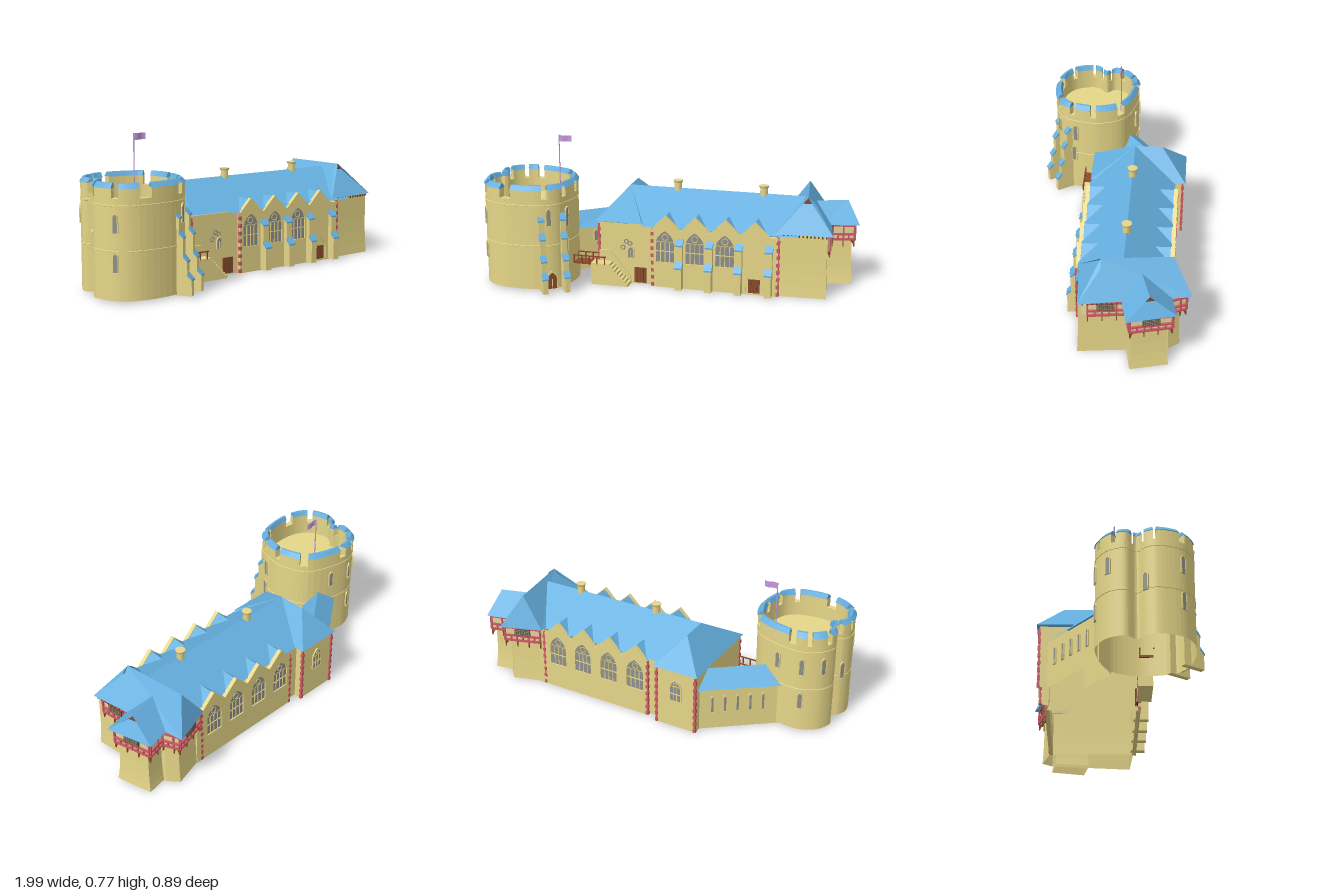
import * as THREE from 'three';

const mat = (color) => new THREE.MeshStandardMaterial({ color, side: THREE.DoubleSide });
const STONE = mat(0xe6d688), ROOF = mat(0x66b0e0), RED = mat(0xcf5a64), BROWN = mat(0x8c4a2c);
const GLASS = mat(0x8f8f8c), PLASTER = mat(0xe3d5a0), PURPLE = mat(0xc79ae0), DARK = mat(0x5c4a2a);

export function createModel() {
  const root = new THREE.Group();
  const V = (x, y, z) => new THREE.Vector3(x, y, z);
  const add = (name, geo, m, parent = root) => {
    const mesh = new THREE.Mesh(geo, m);
    mesh.name = name;
    parent.add(mesh);
    return mesh;
  };
  const box = (name, m, w, h, d, x, y, z, parent) =>
    add(name, new THREE.BoxGeometry(w, h, d).translate(x, y, z), m, parent);
  const frame = (name, x, y, z, ry) => {
    const g = new THREE.Group();
    g.name = name; g.position.set(x, y, z); g.rotation.y = ry;
    root.add(g);
    return g;
  };
  // flat polygons, each fanned from its first corner
  const faces = (polys) => {
    const pts = [];
    for (const p of polys) for (let i = 1; i < p.length - 1; i++) pts.push(p[0], p[i], p[i + 1]);
    const g = new THREE.BufferGeometry().setFromPoints(pts);
    g.computeVertexNormals();
    return g;
  };
  const shapeOf = (pts) => new THREE.Shape(pts.map(([a, b]) => new THREE.Vector2(a, b)));
  // profile of [z, y] points, swept across x
  const sweepX = (pts, w) => new THREE.ExtrudeGeometry(shapeOf(pts), { depth: w, bevelEnabled: false })
    .rotateY(-Math.PI / 2).translate(w / 2, 0, 0);
  // open shell of walls: plan of [x, z] lofted through [y, scale] levels
  const shell = (name, m, plan, levels) => {
    const n = plan.length, cx = plan.reduce((s, p) => s + p[0], 0) / n, cz = plan.reduce((s, p) => s + p[1], 0) / n;
    const rings = levels.map(([y, s]) => plan.map(([x, z]) => V(cx + (x - cx) * s, y, cz + (z - cz) * s)));
    const polys = [];
    for (let j = 1; j < rings.length; j++) for (let i = 0; i < n; i++) {
      const k = (i + 1) % n;
      polys.push([rings[j - 1][k], rings[j - 1][i], rings[j][i], rings[j][k]]);
    }
    add(name, faces(polys), m);
  };
  // hipped roof; a,b = corners at end p, c,d = corners at end q, optional gablet at p
  const hipRoof = (name, a, b, c, d, p, q, ye, yr, drop = 0) => {
    const [A, B, C, D] = [a, b, c, d].map(([x, z]) => V(x, ye, z));
    const P = V(p[0], yr, p[1]), Q = V(q[0], yr, q[1]);
    const half = B.clone().sub(A).multiplyScalar(drop * 4);
    const L = P.clone().sub(half).setY(yr - drop), R = P.clone().add(half).setY(yr - drop);
    add(name, faces([[A, B, R, L], [P, R, B, C, Q], [P, Q, D, A, L], [C, D, Q]]), ROOF);
    if (drop) add(name + 'Gablet', faces([[L, R, P]]), BROWN);
  };
  const arch = (w, h, x = 0, y = 0) => {
    const s = new THREE.Shape(), spring = y + h - w * 0.75, shoulder = y + h - w * 0.3;
    s.moveTo(x - w / 2, y); s.lineTo(x + w / 2, y); s.lineTo(x + w / 2, spring);
    s.quadraticCurveTo(x + w / 2, shoulder, x, y + h);
    s.quadraticCurveTo(x - w / 2, shoulder, x - w / 2, spring);
    return s;
  };
  // pointed window or door facing local +z
  const opening = (name, x, y, z, ry, w, h, lights = 1, m = GLASS) => {
    const g = frame(name, x, y, z, ry);
    add('pane', new THREE.ExtrudeGeometry(arch(w, h), { depth: 0.004, bevelEnabled: false }), m, g);
    const rim = arch(w + 0.01, h + 0.008);
    rim.holes.push(arch(w, h));
    add('surround', new THREE.ExtrudeGeometry(rim, { depth: 0.007, bevelEnabled: false }), STONE, g);
    for (let i = 1; i < lights; i++) {
      const mx = (i / lights - 0.5) * w;
      box('mullion', STONE, 0.004, h - w * 0.7, 0.008, mx, (h - w * 0.7) / 2, 0.004, g);
    }
    if (lights < 3) return;
    box('transom', STONE, w, 0.004, 0.008, 0, h * 0.35, 0.004, g);
    for (let i = 0; i < lights; i++) add('tracery', new THREE.TorusGeometry(w / lights / 2, 0.0022, 4, 8, Math.PI)
      .translate(((i + 0.5) / lights - 0.5) * w, h - w * 0.72, 0.005), STONE, g);
    add('tracery', new THREE.TorusGeometry(w * 0.17, 0.0025, 4, 12).translate(0, h - w * 0.36, 0.005), STONE, g);
  };
  // stepped buttress with sloping caps, steps of [top, depth]
  const buttress = (x, z, ry, w, steps) => {
    const g = frame('buttress', x, 0, z, ry), pts = [[-0.03, 0.005]];
    steps.forEach(([y, d], i) => {
      const nd = i + 1 < steps.length ? steps[i + 1][1] : 0;
      pts.push([d, i ? steps[i - 1][0] + 0.025 : 0.005], [d, y]);
      add('buttressCap', sweepX([[d + 0.004, y - 0.008], [d + 0.004, y], [nd, y + 0.03], [nd, y + 0.015]], w + 0.006), ROOF, g);
    });
    pts.push([0, steps[steps.length - 1][0] + 0.025], [-0.03, steps[steps.length - 1][0] + 0.025]);
    add('buttressBody', sweepX(pts, w), STONE, g);
  };

  // ---- Tower
  const plan = [[-0.79, -0.09], [-0.57, -0.02], [-0.505, 0.12], [-0.515, 0.23], [-0.55, 0.32], [-0.64, 0.375], [-0.85, 0.38],
    [-0.95, 0.32], [-0.99, 0.2], [-0.97, 0.145], [-0.925, 0.105], [-0.965, 0.05], [-0.935, -0.03], [-0.86, -0.08]];
  const curve = new THREE.CatmullRomCurve3(plan.map(([x, z]) => V(x, 0, z)), true);
  const C = V(-0.75, 0, 0.15);
  const rimAt = (t, s, y) => curve.getPoint(((t % 1) + 1) % 1).sub(C).multiplyScalar(s).add(C).setY(y);
  const N = 84;
  // ring of [scale, y] profile points between two positions on the outline
  const ring = (name, m, profile, t0 = 0, t1 = 1, n = N) => {
    const polys = [], sec = (t) => profile.map(([s, y]) => rimAt(t, s, y));
    for (let i = 0; i < n; i++) {
      const a = sec(t0 + (t1 - t0) * i / n), b = sec(t0 + (t1 - t0) * (i + 1) / n);
      for (let k = 0; k < a.length; k++) {
        const l = (k + 1) % a.length;
        polys.push([a[k], a[l], b[l], b[k]]);
      }
    }
    if (t1 - t0 < 1) polys.push(sec(t0), sec(t1));
    add(name, faces(polys), m);
  };
  const outline = Array.from({ length: N }, (_, i) => rimAt(i / N, 1, 0)).map((p) => [p.x, p.z]);
  shell('towerWall', STONE, outline, [[0.01, 1], [0.505, 1]]);
  add('towerFloor', new THREE.ShapeGeometry(shapeOf(outline.map(([x, z]) => [x, -z]))).rotateX(-Math.PI / 2).translate(0, 0.43, 0), STONE);
  ring('towerParapet', STONE, [[0.998, 0.43], [0.998, 0.505], [0.87, 0.505], [0.87, 0.43]]);
  for (const y of [0.25, 0.47]) ring('stringCourse', STONE, [[0.99, y - 0.005], [1.01, y - 0.003], [1.01, y + 0.003], [0.99, y + 0.006]]);
  for (let i = 0; i < 12; i++) {
    const a = (i + 0.13) / 12, b = (i + 0.87) / 12;
    ring('merlon', STONE, [[1, 0.5], [1, 0.555], [0.87, 0.555], [0.87, 0.5]], a, b, 6);
    ring('merlonCap', ROOF, [[1.02, 0.553], [0.94, 0.577], [0.89, 0.577], [0.845, 0.553]], a, b, 6);
  }
  for (const [i, y, h] of [[7, 0.15, 0.09], [7, 0.34, 0.09], [3.3, 0.34, 0.1], [3.4, 0.2, 0.095], [4.5, 0.36, 0.09],
    [13.3, 0.14, 0.09], [13.3, 0.34, 0.09], [0.4, 0.34, 0.09], [9, 0.24, 0.09], [12, 0.34, 0.09]]) {
    const p = rimAt(i / 14, 1, y), q = curve.getTangent(i / 14);
    opening('towerWindow', p.x, y, p.z, Math.atan2(q.z, -q.x), 0.022, h);
  }
  const diag = Math.atan2(0.55, 0.83);
  for (const [x, z] of [[-0.634, 0.358], [-0.533, 0.297]])
    buttress(x, z, diag, 0.028, [[0.09, 0.09], [0.18, 0.067], [0.295, 0.046], [0.392, 0.025]]);
  opening('towerDoor', -0.58, 0.01, 0.348, diag, 0.05, 0.09, 2, BROWN);
  add('flagpole', new THREE.CylinderGeometry(0.003, 0.003, 0.345, 8).translate(-0.645, 0.6, 0.005), PURPLE);
  const flag = new THREE.PlaneGeometry(0.07, 0.034, 8, 1).translate(-0.609, 0.754, 0.005), fp = flag.attributes.position;
  for (let i = 0; i < fp.count; i++) fp.setZ(i, 0.005 + 0.005 * Math.sin((fp.getX(i) + 0.645) * 90));
  flag.computeVertexNormals();
  add('flag', flag, PURPLE);

  // ---- Link wing between tower and chamber block
  shell('linkWing', STONE, [[-0.55, -0.01], [-0.385, -0.14], [-0.385, -0.325], [-0.72, -0.07]], [[0, 1], [0.245, 1]]);
  const [k0, k1, k2, k3] = [V(-0.56, 0.24, 0), V(-0.385, 0.24, -0.12), V(-0.385, 0.24, -0.345), V(-0.74, 0.24, -0.08)];
  const r0 = V(-0.64, 0.32, -0.04), r1 = V(-0.385, 0.32, -0.235);
  add('linkRoof', faces([[k0, k1, r1, r0], [k2, k3, r0, r1]]), ROOF);
  for (let i = 0; i < 5; i++) opening('linkSlit', -0.44 - i * 0.053, 0.1, -0.286 + i * 0.0404, Math.atan2(-0.6, -0.8), 0.012, 0.09);
  for (const i of [0, 1]) opening('linkWindow', -0.47 + i * 0.04, 0.16, -0.073 - i * 0.0315, Math.atan2(0.63, 0.78), 0.02, 0.06);

  // ---- Chamber block
  shell('chamberWalls', STONE, [[-0.385, 0.13], [-0.08, 0.13], [-0.08, -0.325], [-0.155, -0.325], [-0.155, -0.37], [-0.385, -0.37]],
    [[0, 1], [0.335, 1]]);
  hipRoof('chamberRoof', [-0.4, 0.14], [-0.14, 0.14], [-0.14, -0.385], [-0.4, -0.385], [-0.27, -0.1], [-0.27, -0.25], 0.34, 0.49);
  opening('chamberWindow', -0.205, 0.145, 0.13, 0, 0.028, 0.06, 2);
  for (const [x, y] of [[-0.25, 0.2], [-0.23, 0.235], [-0.21, 0.225]])
    add('foilWindow', new THREE.TorusGeometry(0.011, 0.003, 5, 12).translate(x, y, 0.131), GLASS);
  box('chamberDoor', BROWN, 0.065, 0.085, 0.012, -0.152, 0.05, 0.13);
  for (let i = -1; i < 2; i++) box('doorBatten', DARK, 0.003, 0.085, 0.015, -0.152 + i * 0.018, 0.05, 0.13);
  opening('chamberRearWindow', -0.27, 0.16, -0.37, Math.PI, 0.06, 0.12, 3);

  // ---- Great hall
  const peaks = [-0.01, 0.153, 0.316, 0.475];
  for (const s of [1, -1]) {
    const at = (d) => -0.1 + s * d, front = s > 0, edge = front ? 0.24 : 0.23, ye = 0.49 - edge * 0.67;
    add('hallRoof', faces([[V(-0.27, 0.49, -0.1), V(0.7, 0.49, -0.1), V(0.7, ye, at(edge)), V(-0.14, ye, at(edge))]]), ROOF);
    const top = [[-0.085, 0], [-0.085, 0.325]];
    for (const p of peaks) {
      top.push([p - 0.075, 0.322], [p, 0.398], [p + 0.08, 0.322]);
      const tip = V(p, 0.392, at(edge)), back = V(p, 0.392, at(0.14));
      add('gableRoof', faces([-0.08, 0.08].map((o) => [V(p + o, 0.32, at(edge)), tip, back])), ROOF);
    }
    top.push([0.6, 0.322], [0.6, 0]);
    const wall = shapeOf(top), ry = front ? 0 : Math.PI, z = front ? 0.141 : -0.336;
    peaks.forEach((p, i) => {
      if (front && i === 3) {
        wall.holes.push(arch(0.085, 0.12, p, 0.008));
        opening('porchDoor', p, 0.008, z, ry, 0.085, 0.12, 1, STONE);
        box('doorLeaf', BROWN, 0.062, 0.075, 0.01, p, 0.046, z + 0.004);
        for (const o of [-0.015, 0, 0.015]) box('doorBatten', DARK, 0.003, 0.075, 0.013, p + o, 0.046, z + 0.004);
      } else {
        wall.holes.push(arch(0.1, 0.175, p, 0.14));
        opening('hallWindow', p, 0.14, z, ry, 0.1, 0.175, 4);
      }
    });
    add('gabledWall', new THREE.ExtrudeGeometry(wall, { depth: 0.022, bevelEnabled: false }).translate(0, 0, front ? 0.13 : -0.347), STONE);
  }
  for (const x of [0.073, 0.235, 0.394, 0.555]) buttress(x, 0.15, 0, 0.036, [[0.13, 0.05], [0.25, 0.028]]);
  for (const x of [0, 0.475]) {
    add('roofLouver', new THREE.CylinderGeometry(0.02, 0.022, 0.065, 8).translate(x, 0.49, -0.1), STONE);
    add('louverCap', new THREE.CylinderGeometry(0.028, 0.024, 0.012, 8).translate(x, 0.528, -0.1), STONE);
  }
  for (const [x, z] of [[-0.383, 0.13], [-0.08, 0.146], [0.6, 0.146], [-0.383, -0.37], [-0.157, -0.37], [-0.085, -0.342], [0.565, -0.342]])
    for (let i = 0; i < 16; i++) box('quoin', RED, i % 2 ? 0.01 : 0.016, 0.02, i % 2 ? 0.01 : 0.015, x, 0.012 + i * 0.0203, z);

  // ---- Stair and timber bridge
  box('stairLanding', STONE, 0.09, 0.12, 0.075, -0.365, 0.06, 0.165);
  for (let i = 0; i < 8; i++) box('stairStep', STONE, 0.0145, 0.12 - i * 0.0145, 0.075, -0.313 + i * 0.0145, 0.06 - i * 0.00725, 0.165);
  add('stairParapet', new THREE.ExtrudeGeometry(shapeOf([[-0.38, 0], [-0.38, 0.18], [-0.32, 0.18], [-0.21, 0.045], [-0.21, 0]]),
    { depth: 0.01, bevelEnabled: false }).translate(0, 0, 0.13), STONE);
  box('bridgeDeck', BROWN, 0.11, 0.01, 0.07, -0.46, 0.115, 0.165);
  for (const z of [0.133, 0.202]) {
    box('bridgeRail', BROWN, 0.19, 0.006, 0.006, -0.42, 0.158, z);
    for (let i = 0; i < 5; i++) box('railPost', BROWN, 0.006, 0.045, 0.006, -0.505 + i * 0.043, 0.138, z);
  }

  // ---- Corner block with jettied timber storey
  shell('cornerBlockBase', STONE, [[0.595, 0.127], [0.85, 0.115], [0.8, -0.33], [0.755, -0.383], [0.595, -0.335]],
    [[0, 1.03], [0.06, 1.015], [0.13, 1.004], [0.2, 1], [0.34, 1]]);
  shell('annexBase', STONE, [[0.79, -0.13], [0.948, -0.157], [0.905, -0.325], [0.77, -0.3]],
    [[0, 1.14], [0.04, 1.08], [0.09, 1.03], [0.16, 1], [0.26, 1]]);
  shell('jetty', PLASTER, [[0.64, 0.1], [0.85, 0.098], [0.858, 0.07], [0.81, -0.33], [0.773, -0.415], [0.58, -0.352]],
    [[0.25, 0.85], [0.25, 1], [0.34, 1]]);
  shell('annexJetty', PLASTER, [[0.8, -0.11], [0.962, -0.147], [0.912, -0.352], [0.79, -0.32]],
    [[0.25, 0.75], [0.25, 1], [0.34, 1]]);
  hipRoof('cornerRoof', [0.58, 0.135], [0.88, 0.115], [0.785, -0.445], [0.565, -0.365], [0.73, 0.01], [0.69, -0.345], 0.34, 0.512, 0.032);
  hipRoof('annexRoof', [0.992, -0.13], [0.925, -0.375], [0.78, -0.34], [0.8, -0.09], [0.915, -0.24], [0.72, -0.185], 0.34, 0.445, 0.028);
  // framed wall with rails, studs, brackets and a lattice window
  const timber = (x0, z0, x1, z1) => {
    const L = Math.hypot(x1 - x0, z1 - z0), g = frame('timberWall', (x0 + x1) / 2, 0.25, (z0 + z1) / 2, Math.atan2(z0 - z1, x1 - x0));
    for (const y of [0.006, 0.035, 0.083]) box('rail', RED, L, 0.011, 0.012, 0, y, 0, g);
    const n = Math.max(2, Math.round(L / 0.035));
    for (let i = 0; i <= n; i++) {
      const x = (i / n - 0.5) * (L - 0.008);
      box('stud', RED, 0.008, i % 2 ? 0.035 : 0.09, 0.012, x, i % 2 ? 0.0175 : 0.045, 0, g);
      if (i % 2 === 0) add('bracket', sweepX([[0, 0], [0, -0.035], [-0.006, -0.035], [-0.014, -0.012], [-0.03, 0]], 0.005)
        .translate(x, 0, 0), BROWN, g);
    }
    if (L < 0.15) return;
    box('latticeWindow', GLASS, 0.085, 0.036, 0.014, 0, 0.06, 0, g);
    for (let i = -4; i < 5; i++) box('lattice', DARK, 0.002, 0.036, 0.016, i * 0.0105, 0.06, 0, g);
    for (let i = 0; i < 5; i++) box('lattice', DARK, 0.085, 0.002, 0.016, 0, 0.042 + i * 0.009, 0, g);
  };
  timber(0.862, 0.07, 0.84, -0.115);
  timber(0.845, -0.12, 0.966, -0.146);
  timber(0.966, -0.146, 0.915, -0.356);
  timber(0.915, -0.356, 0.815, -0.33);
  timber(0.815, -0.33, 0.776, -0.418);
  timber(0.776, -0.418, 0.58, -0.356);
  // corbels under the eaves
  for (let i = 0; i < 12; i++) box('eaveCorbel', DARK, 0.007, 0.01, 0.012, 0.625 + i * 0.02, 0.333, 0.127 - i * 0.001);
  for (let i = 0; i < 9; i++) box('eaveCorbel', DARK, 0.014, 0.008, 0.007, 0.867 - i * 0.0025, 0.336, 0.09 - i * 0.024);
  return root;
}
